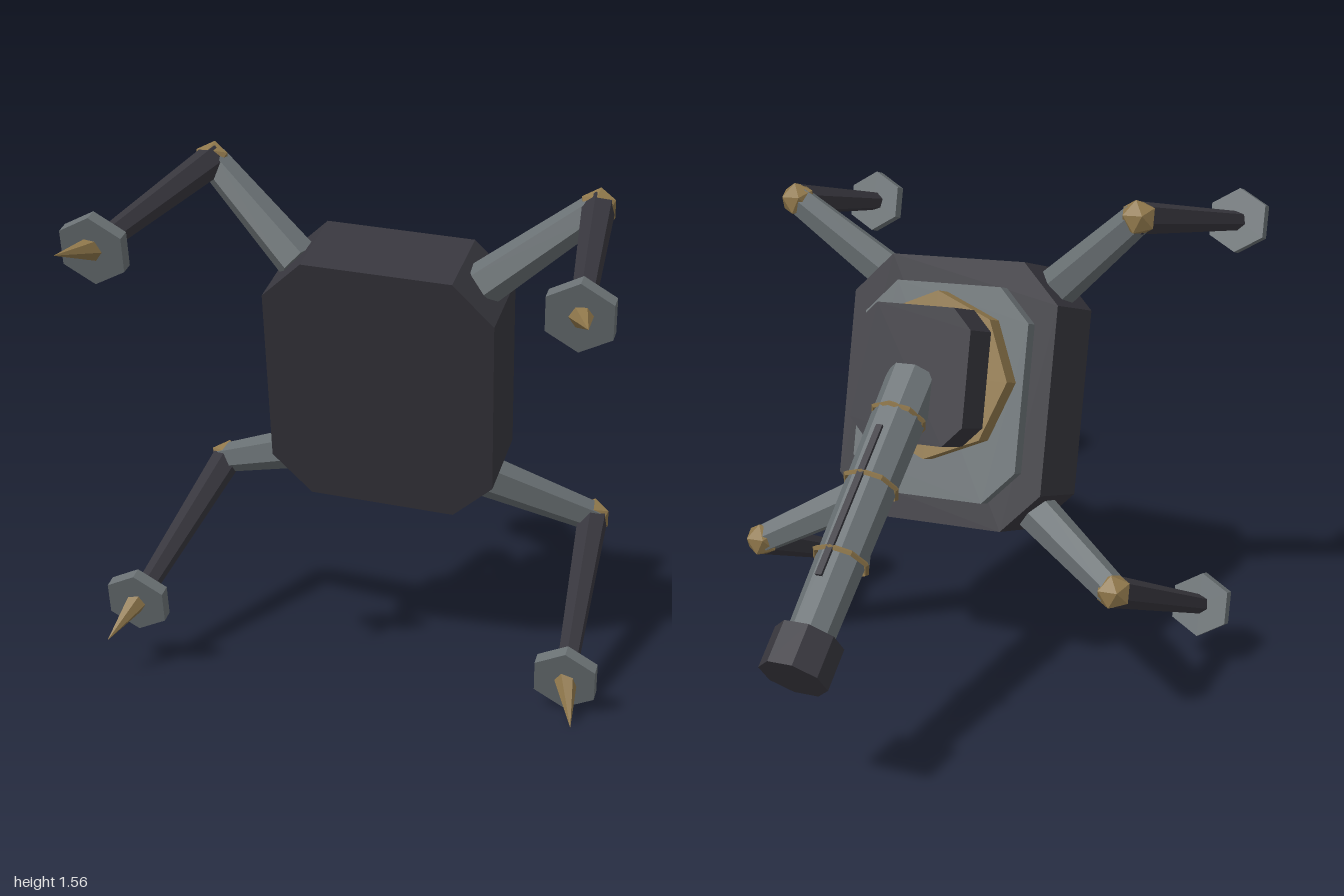
import * as THREE from 'three';

const dark = new THREE.MeshStandardMaterial({ color: 0x37363d });
dark.name = 'charcoal';
const gray = new THREE.MeshStandardMaterial({ color: 0x697073 });
gray.name = 'steel';
const gold = new THREE.MeshStandardMaterial({ color: 0x8f774b });
gold.name = 'brass';

const V = (x, y, z) => new THREE.Vector3(x, y, z);

// Faceted mesh with one normal per face
function part(name, geometry, material, parent) {
  const g = geometry.index ? geometry.toNonIndexed() : geometry;
  g.computeVertexNormals();
  const mesh = new THREE.Mesh(g, material);
  mesh.name = name;
  parent.add(mesh);
  return mesh;
}

// Slab with cut corners, standing on height y0
function slab(hw, hl, cut, y0, thickness) {
  const s = new THREE.Shape([
    [hw, hl - cut], [hw - cut, hl], [cut - hw, hl], [-hw, hl - cut],
    [-hw, cut - hl], [cut - hw, -hl], [hw - cut, -hl], [hw, cut - hl],
  ].map(([x, y]) => new THREE.Vector2(x, y)));
  return new THREE.ExtrudeGeometry(s, { depth: thickness, bevelEnabled: false })
    .rotateX(-Math.PI / 2).translate(0, y0, 0);
}

// Tapered six-sided bar between two points
function limb(name, a, b, ra, rb, material, parent) {
  const d = b.clone().sub(a);
  const mesh = part(name, new THREE.CylinderGeometry(rb, ra, d.length(), 6), material, parent);
  mesh.position.copy(a).add(b).multiplyScalar(0.5);
  mesh.quaternion.setFromUnitVectors(V(0, 1, 0), d.normalize());
}

function addLeg(parent, sx, sz) {
  const leg = new THREE.Group();
  leg.name = (sz < 0 ? 'gunSide' : 'rearSide') + (sx > 0 ? 'LeftLeg' : 'RightLeg');
  parent.add(leg);
  const hip = V(sx * 0.27, 0.13, sz * 0.33);
  const knee = sz > 0 ? V(sx * 0.568, 0.265, 0.547) : V(sx * 0.597, 0.256, -0.525);
  const foot = V(sx * 0.65, -0.379, sz * 0.606);
  const tip = V(sx * 0.695, -0.52, sz * 0.657);
  limb('upperLeg', hip, knee, 0.065, 0.047, gray, leg);
  limb('lowerLeg', knee, foot, 0.048, 0.03, dark, leg);
  limb('footSpike', foot, tip, 0.035, 0.0005, gold, leg);
  part('kneeJoint', new THREE.IcosahedronGeometry(0.056, 0), gold, leg).position.copy(knee);
  part('footPad', new THREE.CylinderGeometry(0.1, 0.1, 0.038, 6), gray, leg).position.copy(foot);
}

export function createModel() {
  const model = new THREE.Group();
  model.name = 'walkerTurret';

  // The whole machine is tipped up on its side, with a slight roll
  const walker = new THREE.Group();
  walker.name = 'walker';
  const f = V(0.087, 0.933, 0.35).normalize();
  const u = f.clone().cross(V(0.997, -0.08, -0.02)).normalize();
  walker.quaternion.setFromRotationMatrix(
    new THREE.Matrix4().makeBasis(u.clone().cross(f), u, f));
  walker.position.set(0, 0.855, 0.27);
  model.add(walker);

  // Hull
  part('hull', slab(0.34, 0.4, 0.12, 0, 0.255), dark, walker);
  part('deckPlate', slab(0.272, 0.32, 0.1, 0.255, 0.045), gray, walker);

  // Turret
  const turret = new THREE.Group();
  turret.name = 'turret';
  turret.position.set(0, 0, 0.045);
  walker.add(turret);
  part('turretRing', new THREE.CylinderGeometry(0.25, 0.25, 0.062, 8), gold, turret).position.y = 0.333;
  part('turretHousing', slab(0.185, 0.2, 0.06, 0.364, 0.134), dark, turret);

  // Gun, its length along local y
  const gun = new THREE.Group();
  gun.name = 'gun';
  gun.position.set(0, 0.473, -0.03);
  gun.rotation.x = -0.988;
  turret.add(gun);
  const eighth = Math.PI / 8;
  part('barrel', new THREE.CylinderGeometry(0.067, 0.082, 0.88, 8).rotateY(eighth), gray, gun)
    .position.y = 0.42;
  part('muzzle', new THREE.CylinderGeometry(0.1, 0.1, 0.125, 8).rotateY(eighth), dark, gun)
    .position.y = 0.9;
  for (const y of [0.12, 0.35, 0.595]) {
    part('barrelBand', new THREE.TorusGeometry(0.081, 0.008, 4, 8).rotateX(Math.PI / 2), gold, gun)
      .position.y = y;
  }
  part('sightRail', new THREE.BoxGeometry(0.02, 0.49, 0.009), dark, gun).position.set(0, 0.44, 0.079);

  // Legs
  for (const sx of [-1, 1]) for (const sz of [-1, 1]) addLeg(walker, sx, sz);

  return model;
}
